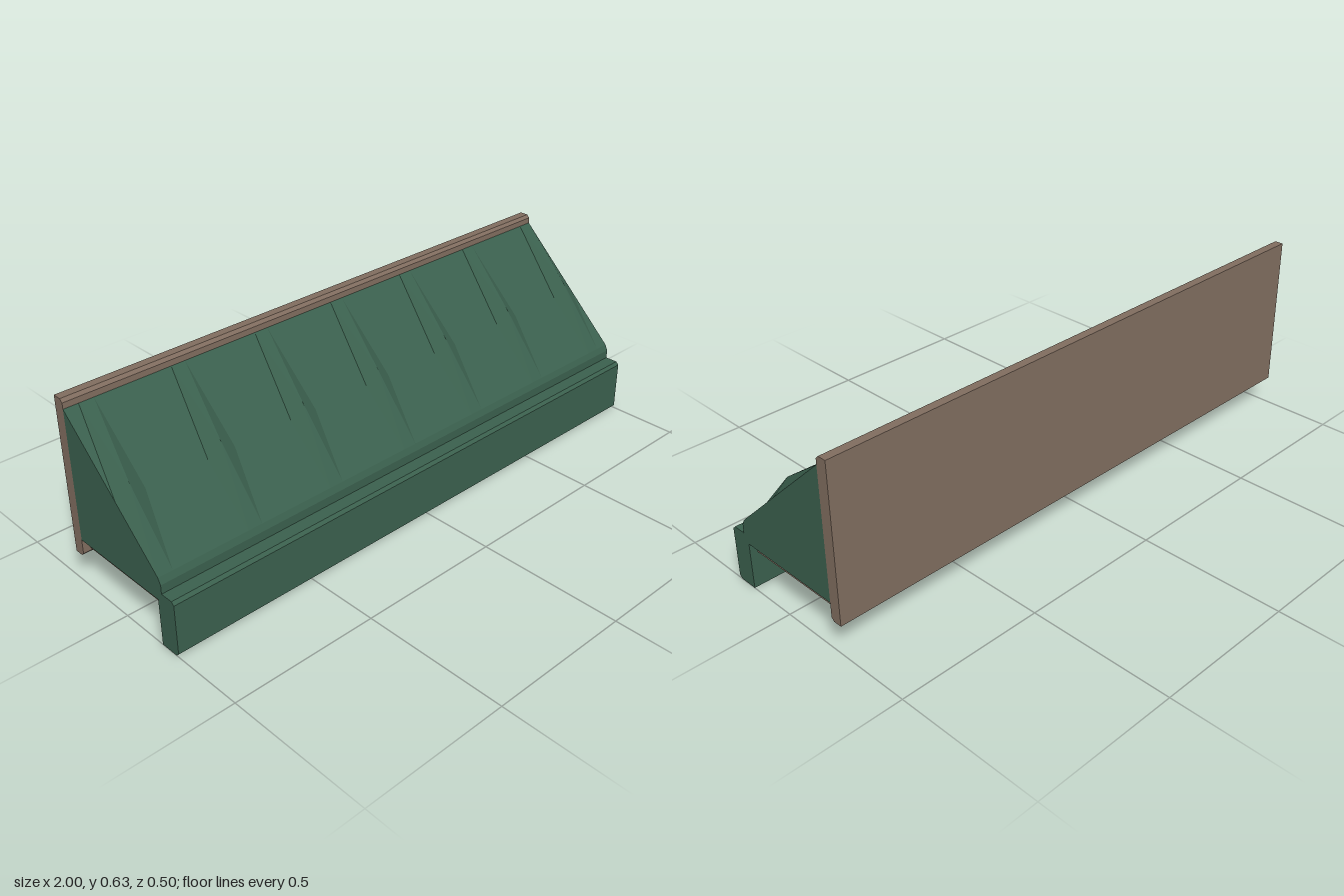
import * as THREE from 'three';

const green = new THREE.MeshStandardMaterial({ color: 0x3a5f4d });
green.name = 'green canvas';
const brown = new THREE.MeshStandardMaterial({ color: 0x7f6c5e });
brown.name = 'brown wood';

const RIBS = 7, RIB_STEP = 1.9 / (RIBS - 1), RIB_HALF = 0.05;
const ribX = (i) => -0.95 + i * RIB_STEP;

function addMesh(group, name, geometry, material) {
  const mesh = new THREE.Mesh(geometry, material);
  mesh.name = name;
  group.add(mesh);
  return mesh;
}

// Extrudes a [z, y] outline along the full width
function bar(points) {
  const shape = new THREE.Shape(points.map(([z, y]) => new THREE.Vector2(-z, y)));
  const geometry = new THREE.ExtrudeGeometry(shape, { depth: 2, bevelEnabled: false });
  return geometry.translate(0, 0, -1).rotateY(Math.PI / 2);
}

// Closed canopy: cross-sections along x, the middle row lifted to a peak at each rib
function canopyGeometry() {
  const section = (x, midY) => [
    [-0.21, 0.16], [0.195, 0.16], [0.195, 0.22], [0.185, 0.24], [0.01, midY], [-0.21, 0.605],
  ].map(([z, y]) => [x, y, z]);
  const rings = [];
  for (let i = 0; i < RIBS; i++) {
    const x = ribX(i);
    rings.push(section(x - RIB_HALF, 0.402), section(x, 0.445), section(x + RIB_HALF, 0.402));
  }
  const pos = [];
  const tri = (a, b, c) => pos.push(...a, ...b, ...c);
  const n = rings[0].length;
  for (let i = 0; i + 1 < rings.length; i++) {
    const a = rings[i], b = rings[i + 1];
    for (let j = 0; j < n; j++) {
      const k = (j + 1) % n;
      tri(a[j], b[j], b[k]);
      tri(a[j], b[k], a[k]);
    }
  }
  // Side walls
  const first = rings[0], last = rings[rings.length - 1];
  for (let j = 1; j + 1 < n; j++) {
    tri(first[0], first[j], first[j + 1]);
    tri(last[0], last[j + 1], last[j]);
  }
  const geometry = new THREE.BufferGeometry();
  geometry.setAttribute('position', new THREE.Float32BufferAttribute(pos, 3));
  geometry.computeVertexNormals();
  return geometry;
}

export function createModel() {
  const model = new THREE.Group();
  model.name = 'awning';

  addMesh(model, 'canopy', canopyGeometry(), green);

  // Hanging front board with chamfered outer edges
  addMesh(model, 'valance', bar([
    [0.175, 0], [0.24, 0], [0.25, 0.01], [0.25, 0.18], [0.24, 0.19], [0.175, 0.19],
  ]), green);

  // Wall board with chamfered front edges
  addMesh(model, 'backBoard', bar([
    [-0.25, 0.1], [-0.22, 0.1], [-0.21, 0.11], [-0.21, 0.625], [-0.22, 0.635], [-0.25, 0.635],
  ]), brown);

  // Support rails under the canopy, one below each rib
  const rails = new THREE.Group();
  rails.name = 'supportRails';
  for (let i = 0; i < RIBS; i++) {
    const rail = addMesh(rails, 'supportRail', new THREE.BoxGeometry(0.05, 0.04, 0.385), brown);
    rail.position.set(ribX(i), 0.14, -0.0175);
  }
  model.add(rails);

  return model;
}
